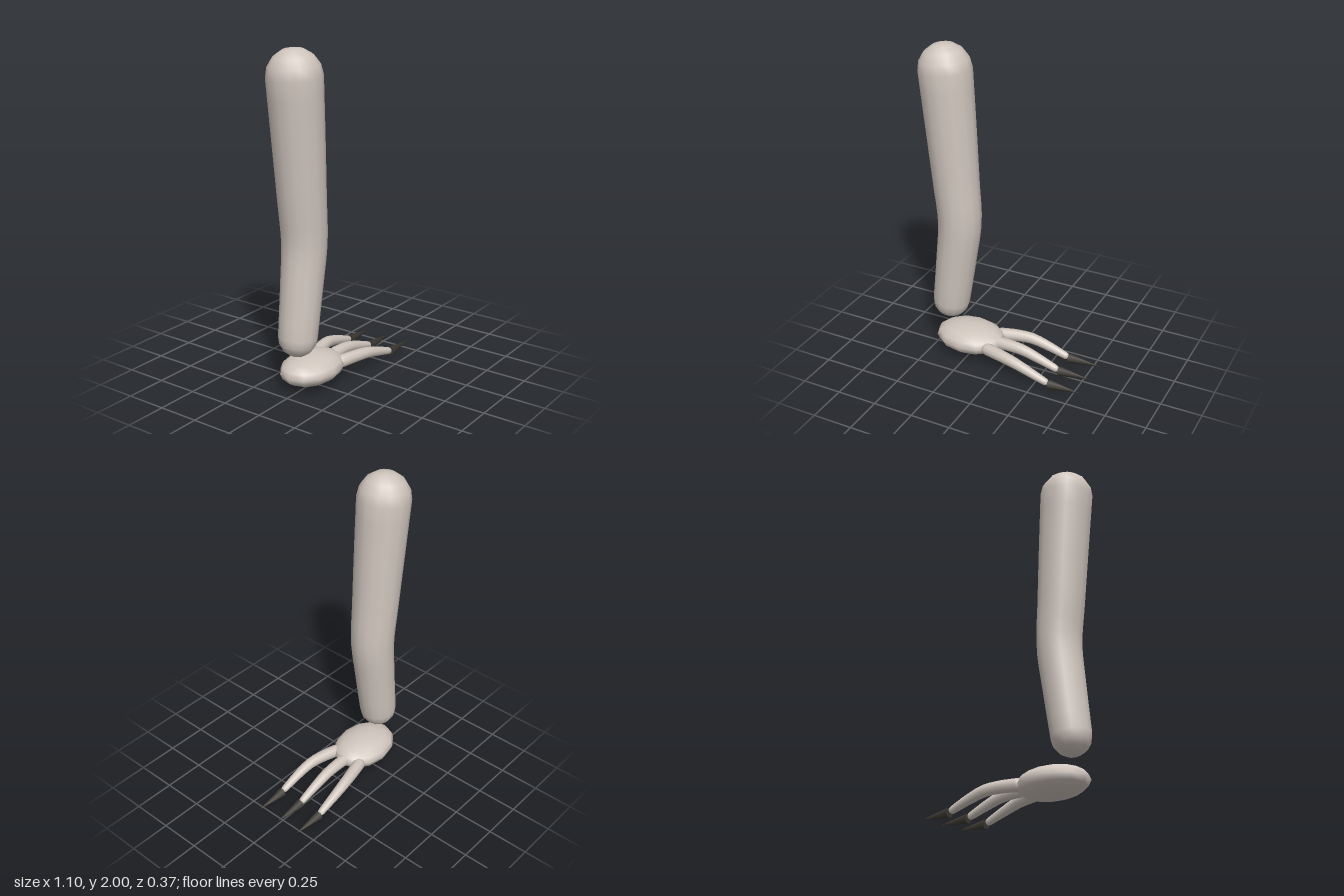
import * as THREE from 'three';
import { mergeVertices } from 'three/addons/utils/BufferGeometryUtils.js';

const skin = new THREE.MeshStandardMaterial({ color: 0xcfc5bd });
const horn = new THREE.MeshStandardMaterial({ color: 0x3b3630 });

// Tapered round limb along a smooth path; each point is [x, y, z, radius], both ends domed.
function limb(points, sides, steps, capSteps = 4) {
  const curve = new THREE.CatmullRomCurve3(points.map(p => new THREE.Vector3(p[0], p[1], p[2])));
  const radii = new THREE.CatmullRomCurve3(points.map(p => new THREE.Vector3(p[3], 0, 0)));
  const pos = [], index = [];
  let rings = 0;

  const ring = (t, scale, shift) => {
    const T = curve.getTangent(t);
    const B = new THREE.Vector3(0, 0, 1).addScaledVector(T, -T.z).normalize();
    const N = new THREE.Vector3().crossVectors(B, T);
    const r = radii.getPoint(t).x;
    const c = curve.getPoint(t).addScaledVector(T, r * shift);
    for (let j = 0; j < sides; j++) {
      const a = (j / sides) * Math.PI * 2;
      const v = c.clone()
        .addScaledVector(N, r * scale * Math.cos(a))
        .addScaledVector(B, r * scale * Math.sin(a));
      pos.push(v.x, v.y, v.z);
    }
    rings++;
  };

  const quarter = i => (i / capSteps) * Math.PI / 2;
  for (let i = 0; i < capSteps; i++) ring(0, Math.sin(quarter(i)), -Math.cos(quarter(i)));
  for (let i = 0; i <= steps; i++) ring(i / steps, 1, 0);
  for (let i = 1; i <= capSteps; i++) ring(1, i === capSteps ? 0 : Math.cos(quarter(i)), Math.sin(quarter(i)));

  for (let i = 0; i < rings - 1; i++) {
    for (let j = 0; j < sides; j++) {
      const a = i * sides + j, b = i * sides + (j + 1) % sides;
      const c = a + sides, d = b + sides;
      if (i > 0) index.push(a, b, c);
      if (i < rings - 2) index.push(b, d, c);
      else if (i === 0) index.push(b, d, c);
    }
  }
  let geo = new THREE.BufferGeometry();
  geo.setAttribute('position', new THREE.Float32BufferAttribute(pos, 3));
  geo.setIndex(index);
  geo = mergeVertices(geo, 1e-5);
  geo.computeVertexNormals();
  return geo;
}

function add(parent, name, geometry, material) {
  const mesh = new THREE.Mesh(geometry, material);
  mesh.name = name;
  parent.add(mesh);
  return mesh;
}

export function createModel() {
  const model = new THREE.Group();
  model.name = 'clawedLeg';

  // Leg, bent at the knee and thinner towards the ankle
  add(model, 'leg', limb([
    [-0.396, 1.843, 0, 0.157],
    [-0.368, 1.5, 0, 0.148],
    [-0.341, 1.15, 0, 0.138],
    [-0.323, 0.9, 0, 0.131],
    [-0.351, 0.65, 0, 0.123],
    [-0.392, 0.345, 0, 0.114],
  ], 14, 16), skin);

  // Flattened foot pad
  const foot = add(model, 'foot', new THREE.SphereGeometry(1, 12, 8), skin);
  foot.scale.set(0.226, 0.088, 0.167);
  foot.position.set(-0.26, 0.112, 0);

  // Three toes, spreading outwards and drooping to the claws
  ['right', 'middle', 'left'].forEach((label, i) => {
    const s = i - 1;
    const toe = new THREE.Group();
    toe.name = label + 'Toe';
    add(toe, 'toe', limb([
      [-0.095, 0.112, s * 0.096, 0.039],
      [0.0, 0.114, s * 0.122, 0.037],
      [0.1, 0.107, s * 0.142, 0.034],
      [0.21, 0.077, s * 0.15, 0.029],
      [0.322, 0.04, s * 0.153, 0.022],
    ], 10, 10, 3), skin);

    // Horizontal claw
    const claw = add(toe, 'claw', new THREE.ConeGeometry(0.03, 0.2, 6), horn);
    claw.rotation.z = -Math.PI / 2;
    claw.position.set(0.445, 0.028, s * 0.153);
    model.add(toe);
  });

  return model;
}
